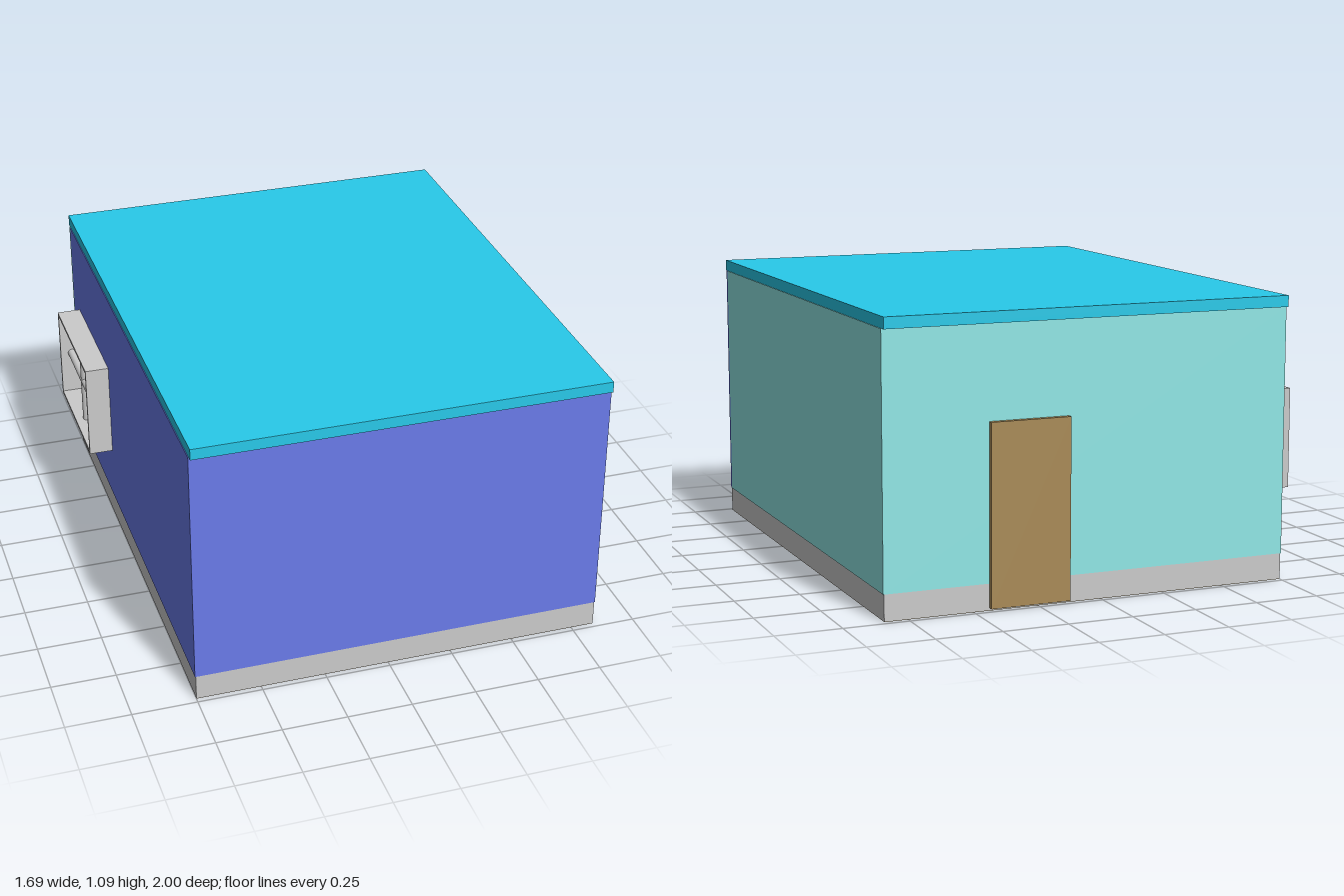
import * as THREE from 'three';

const X0 = -0.75, X1 = 0.84, Z = 0.98; // outer faces of the house
const T = 0.015;                       // wall thickness
const BASE = 0.1, TOP = 1.042;         // plinth top, wall top

const mat = (color) => new THREE.MeshStandardMaterial({ color, flatShading: true });
const grey = mat(0xcccccc), blue = mat(0x6a7bea), teal = mat(0x91e7e6);
const cyan = mat(0x28caea), brown = mat(0xa98b57);

function add(parent, name, geometry, material) {
  const mesh = new THREE.Mesh(geometry, material);
  mesh.name = name;
  parent.add(mesh);
  return mesh;
}

// Box given by its minimum and maximum corners
function block(parent, name, material, [x0, y0, z0], [x1, y1, z1]) {
  const g = new THREE.BoxGeometry(x1 - x0, y1 - y0, z1 - z0);
  g.translate((x0 + x1) / 2, (y0 + y1) / 2, (z0 + z1) / 2);
  return add(parent, name, g, material);
}

const rect = (C, u0, v0, u1, v1) => {
  const p = new C();
  p.moveTo(u0, v0).lineTo(u1, v0).lineTo(u1, v1).lineTo(u0, v1).closePath();
  return p;
};

// Upright panel facing the x axis with a rectangular hole; u runs along -z
function holedPanel(parent, name, material, outer, hole, x, depth) {
  const shape = rect(THREE.Shape, ...outer);
  shape.holes.push(rect(THREE.Path, ...hole));
  const g = new THREE.ExtrudeGeometry(shape, { depth, bevelEnabled: false });
  g.rotateY(Math.PI / 2);
  g.translate(x, 0, 0);
  return add(parent, name, g, material);
}

export function createModel() {
  const house = new THREE.Group();
  house.name = 'house';

  // Floor slab and roof slab
  block(house, 'floor', brown, [X0 + 0.001, 0, -Z + 0.001], [X1 - 0.001, 0.01, Z - 0.001]);
  block(house, 'roof', cyan, [X0, 1.042, -1], [X1, 1.085, 1]);

  // Plinth
  const plinth = new THREE.Group();
  plinth.name = 'plinth';
  house.add(plinth);
  for (const s of [-1, 1]) {
    const z = s * (Z - T / 2);
    block(plinth, s > 0 ? 'plinthFront' : 'plinthBack', grey,
      [X0, 0.002, z - T / 2], [X1, BASE, z + T / 2]);
    const x = s > 0 ? X1 - T : X0;
    block(plinth, s > 0 ? 'plinthLeft' : 'plinthRight', grey,
      [x, 0.002, -Z + T], [x + T, BASE, Z - T]);
  }

  // Walls, with the window opening in the one at -x
  const u0 = 0.32, u1 = 0.86, v0 = 0.325, v1 = 0.71, R = 0.012;
  const opening = [u0 + R, v0 + R, u1 - R, v1 - R];
  block(house, 'frontWall', blue, [X0 - 0.003, BASE, Z - T], [X1 + 0.003, TOP, Z]);
  block(house, 'backWall', teal, [X0 - 0.003, BASE, -Z], [X1 + 0.003, TOP, -Z + T]);
  block(house, 'leftWall', teal, [X1 + 0.003 - T, BASE, -Z + T], [X1 + 0.003, TOP, Z - T]);
  holedPanel(house, 'rightWall', blue, [-Z + T, BASE, Z - T, TOP], opening, X0 - 0.003, T);

  // Door on the back wall
  block(house, 'door', brown, [0.13, 0.01, -1], [0.44, 0.69, -Z]);

  // Deep window frame with crossed round bars
  const win = new THREE.Group();
  win.name = 'window';
  house.add(win);
  holedPanel(win, 'windowFrame', grey, [u0, v0, u1, v1], opening, -0.847, 0.094);
  const barMat = new THREE.MeshStandardMaterial({ color: 0xcccccc });
  const bar = (name, length) => {
    const m = add(win, name, new THREE.CylinderGeometry(0.016, 0.016, length, 20), barMat);
    m.position.set(-0.8, (v0 + v1) / 2, -(u0 + u1) / 2);
    return m;
  };
  bar('verticalBar', v1 - v0 - R);
  bar('horizontalBar', u1 - u0 - R).rotation.x = Math.PI / 2;

  return house;
}
